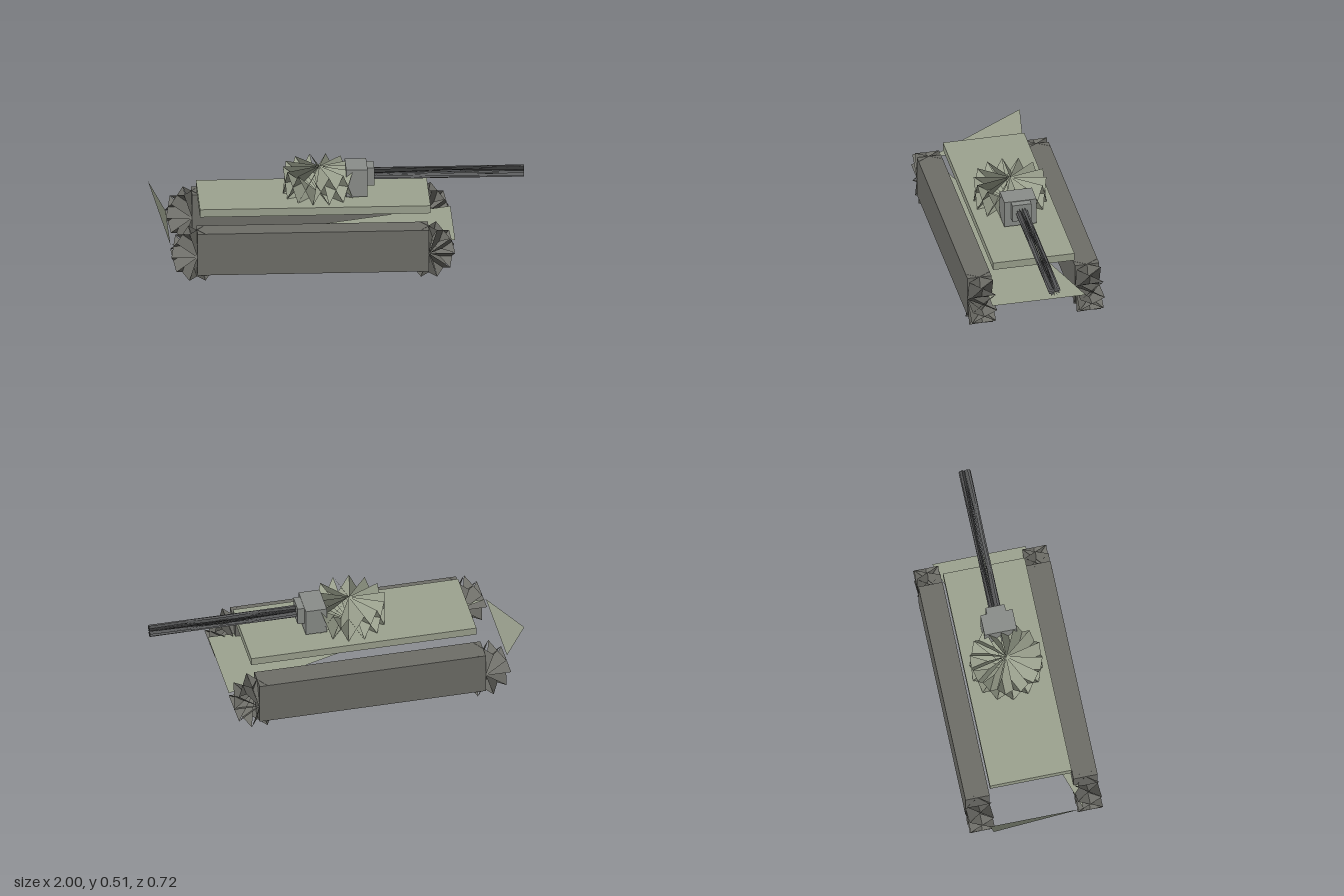
import * as THREE from 'three';

const material = (color) => new THREE.MeshStandardMaterial({ color, flatShading: true, side: THREE.DoubleSide });
const hullMat = material(0x9da390);
const trackMat = material(0x6e6e68);
const gunMat = material(0x8b8e8a);
const barrelMat = material(0x5a5b5c);

function add(group, name, geometry, mat, x = 0, y = 0, z = 0) {
  const mesh = new THREE.Mesh(geometry, mat);
  mesh.name = name;
  mesh.position.set(x, y, z);
  group.add(mesh);
  return mesh;
}

// Box given by its lower and upper corners
function addBox(group, name, mat, a, b) {
  const size = a.map((v, i) => b[i] - v);
  const mid = a.map((v, i) => (v + b[i]) / 2);
  return add(group, name, new THREE.BoxGeometry(...size), mat, ...mid);
}

function triangles(corners) {
  const geometry = new THREE.BufferGeometry();
  geometry.setAttribute('position', new THREE.Float32BufferAttribute(corners.flat(), 3));
  geometry.computeVertexNormals();
  return geometry;
}

// Spiky drum along y: twisted petals run from each cap centre to the opposite rim
function pleatedDrum(radius, height, sides) {
  const h = height / 2;
  const rim = (i, y) => {
    const a = (i / sides) * Math.PI * 2;
    return [radius * Math.cos(a), y, radius * Math.sin(a)];
  };
  const corners = [];
  for (let i = 0; i < sides; i++) {
    corners.push([0, h, 0], rim(i + 1, -h), rim(i, h));
    corners.push([0, -h, 0], rim(i, -h), rim(i + 1, h));
  }
  return triangles(corners);
}

export function createModel() {
  const model = new THREE.Group();
  model.name = 'trackedVehicle';

  // Tracks: a long block with a pleated drum at each end
  for (const side of [1, -1]) {
    const track = new THREE.Group();
    track.name = side > 0 ? 'leftTrack' : 'rightTrack';
    const z = side * 0.295;
    addBox(track, 'trackBlock', trackMat, [-0.765, 0.03, z - 0.066], [0.475, 0.265, z + 0.066]);
    for (const x of [-0.765, 0.475]) {
      add(track, 'trackEnd', pleatedDrum(0.14, 0.132, 10).rotateX(Math.PI / 2), trackMat, x, 0.133, z);
    }
    model.add(track);
  }

  // Open lower hull: diagonal floor sheet and sloped rear sheet
  add(model, 'hullFloor', triangles([[-0.905, 0.167, 0.255], [0.62, 0.167, 0.255], [0.62, 0.167, -0.255]]), hullMat);
  add(model, 'rearSheet', triangles([[-1, 0.34, -0.255], [-0.905, 0.167, 0.255], [-0.905, 0.167, -0.255]]), hullMat);

  // Deck and turret
  addBox(model, 'deck', hullMat, [-0.745, 0.31, -0.223], [0.49, 0.353, 0.223]);
  add(model, 'turret', pleatedDrum(0.195, 0.154, 14), hullMat, -0.095, 0.43, 0);

  // Gun mount and barrel
  addBox(model, 'gunMantlet', gunMat, [0.045, 0.36, -0.088], [0.16, 0.513, 0.088]);
  addBox(model, 'barrelCollar', gunMat, [0.16, 0.41, -0.052], [0.197, 0.51, 0.052]);
  add(model, 'barrel', pleatedDrum(0.033, 0.803, 12).rotateZ(-Math.PI / 2), barrelMat, 0.5985, 0.46, 0);

  return model;
}
